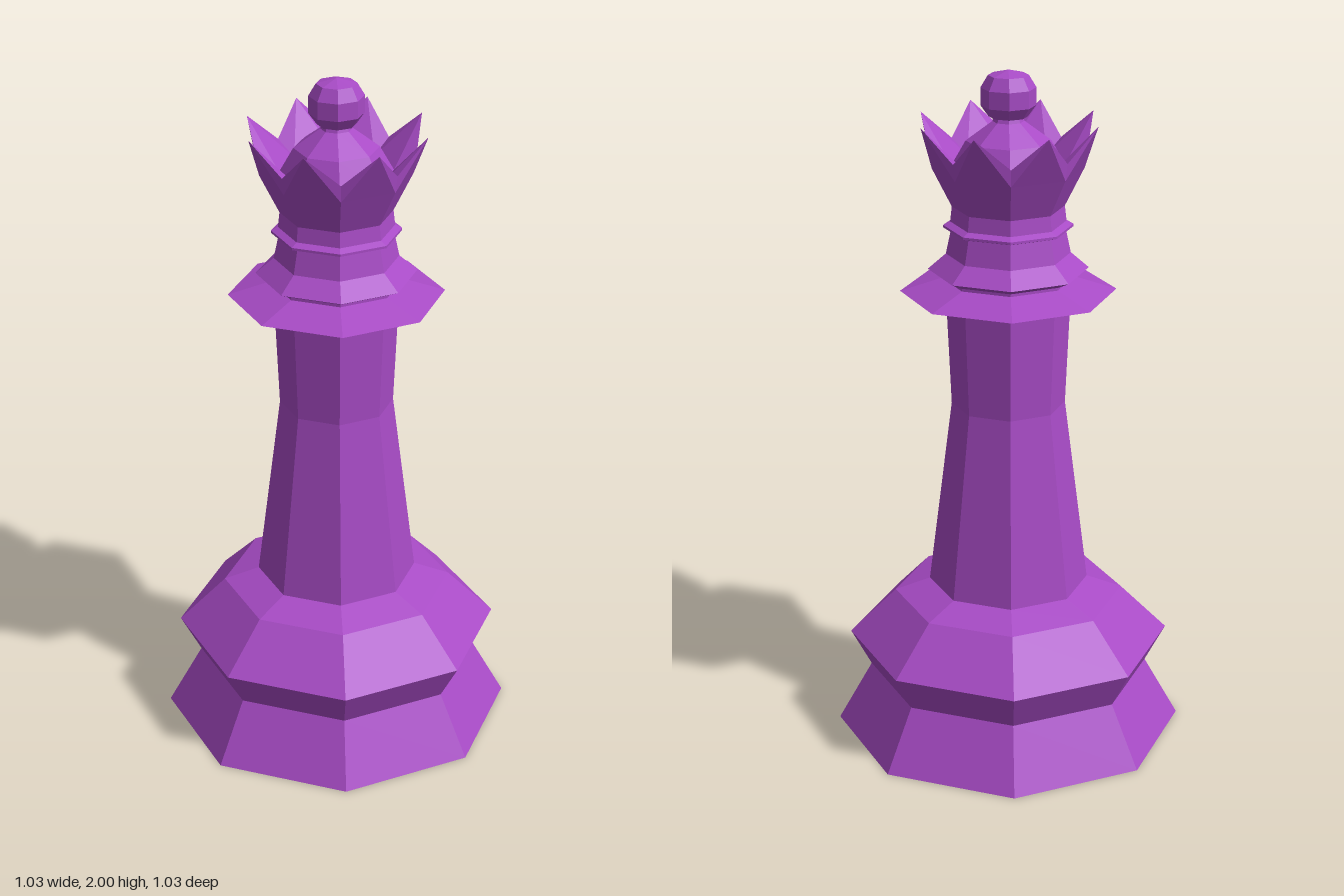
import * as THREE from 'three';

const SIDES = 8;
const material = new THREE.MeshStandardMaterial({ color: 0xa84bc6, flatShading: true });

function addMesh(group, name, geometry) {
  const mesh = new THREE.Mesh(geometry, material);
  mesh.name = name;
  group.add(mesh);
}

// Eight-sided turned part from [radius, height] pairs, bottom to top
function turned(profile) {
  return new THREE.LatheGeometry(profile.map(([r, y]) => new THREE.Vector2(r, y)), SIDES);
}

// Flared crown wall with pointed tips and a sloping inner face
function crownGeometry() {
  const positions = [];
  const point = (r, y, step) => {
    const a = (step / SIDES) * Math.PI * 2;
    return [r * Math.sin(a), y, r * Math.cos(a)];
  };
  const tri = (...corners) => corners.forEach((c) => positions.push(...c));
  for (let i = 0; i < SIDES; i++) {
    const [foot, foot2] = [i, i + 1].map((s) => point(0.16, 1.61, s));
    const [bend, bend2] = [i, i + 1].map((s) => point(0.215, 1.72, s));
    const [valley, valley2] = [i, i + 1].map((s) => point(0.222, 1.77, s));
    const [floor, floor2] = [i, i + 1].map((s) => point(0.16, 1.73, s));
    const tip = point(0.265, 1.86, i + 0.5);
    // outer face
    tri(foot, foot2, bend2);
    tri(foot, bend2, bend);
    tri(bend, bend2, tip);
    tri(bend, tip, valley);
    tri(bend2, valley2, tip);
    // inner face
    tri(floor2, floor, tip);
    tri(floor, valley, tip);
    tri(floor2, tip, valley2);
  }
  const geometry = new THREE.BufferGeometry();
  geometry.setAttribute('position', new THREE.Float32BufferAttribute(positions, 3));
  geometry.computeVertexNormals();
  return geometry;
}

export function createModel() {
  const group = new THREE.Group();
  group.name = 'chessQueen';

  addMesh(group, 'base', turned([
    [0, 0], [0.515, 0], [0.415, 0.18], [0.475, 0.29], [0.338, 0.425], [0.235, 0.462],
  ]));
  addMesh(group, 'shaft', turned([[0.235, 0.462], [0.165, 1.02], [0.178, 1.325]]));
  addMesh(group, 'collar', turned([
    [0.178, 1.325], [0.31, 1.362], [0.19, 1.4], [0.19, 1.408],
    [0.23, 1.427], [0.178, 1.472],
  ]));
  addMesh(group, 'neck', turned([
    [0.178, 1.472], [0.163, 1.542], [0.185, 1.549], [0.185, 1.556], [0.165, 1.566], [0.16, 1.61],
  ]));
  addMesh(group, 'crown', crownGeometry());
  addMesh(group, 'dome', turned([[0.16, 1.73], [0.12, 1.8], [0.045, 1.855], [0.04, 1.868]]));
  addMesh(group, 'finial', turned([
    [0, 1.862], [0.055, 1.868], [0.078, 1.9], [0.078, 1.95], [0.057, 1.985], [0, 2],
  ]));
  return group;
}
